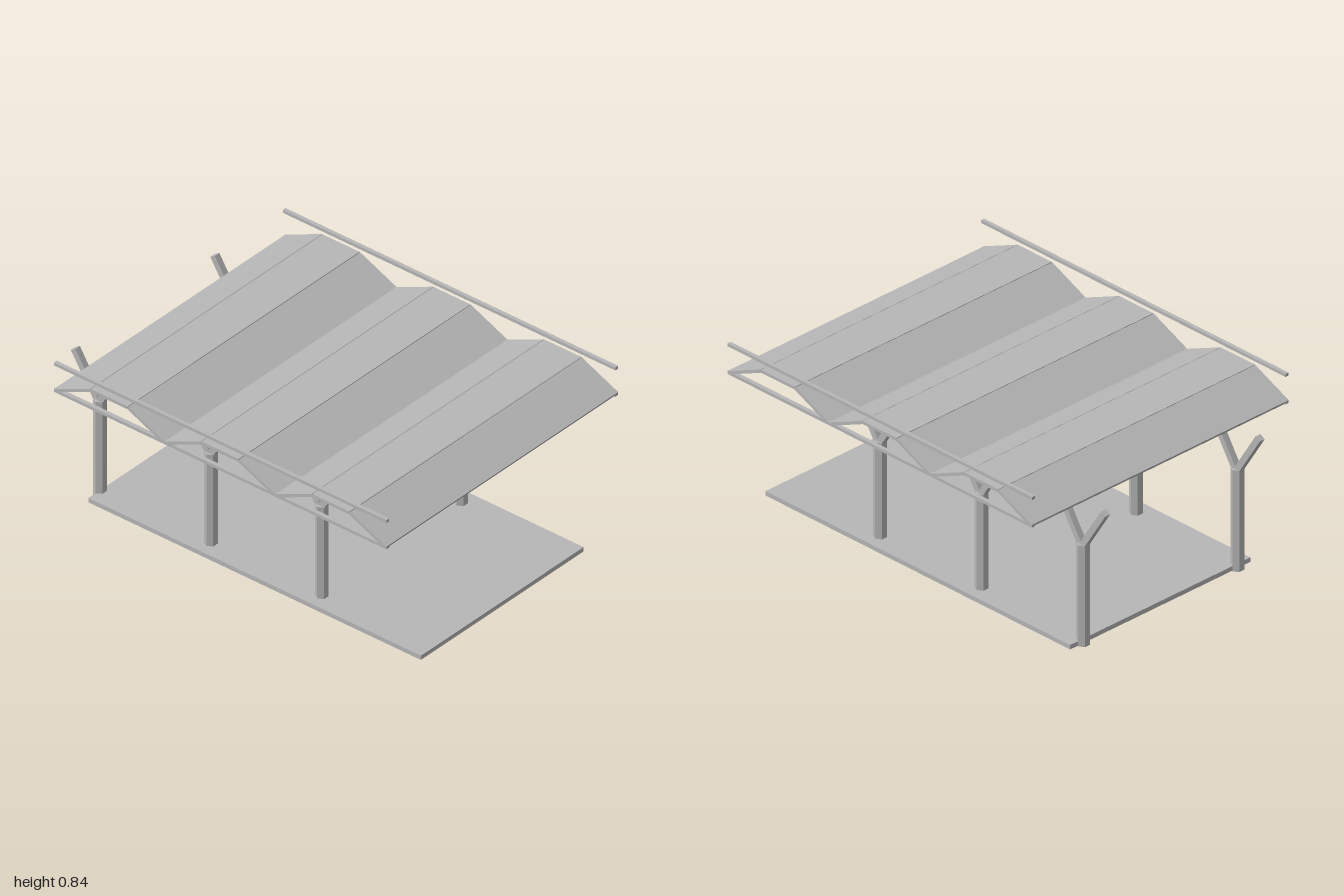
import * as THREE from 'three';

const gray = new THREE.MeshStandardMaterial({ color: 0xb6b6b6 });
gray.name = 'light gray';

// Box given by its limits on each axis
function box(name, x0, x1, y0, y1, z0, z1) {
  const mesh = new THREE.Mesh(new THREE.BoxGeometry(x1 - x0, y1 - y0, z1 - z0), gray);
  mesh.position.set((x0 + x1) / 2, (y0 + y1) / 2, (z0 + z1) / 2);
  mesh.name = name;
  return mesh;
}

// Box running between two points in the xy plane
function bar(name, [x0, y0], [x1, y1], thickness, depth, z = 0) {
  const length = Math.hypot(x1 - x0, y1 - y0);
  const mesh = new THREE.Mesh(new THREE.BoxGeometry(length, thickness, depth), gray);
  mesh.position.set((x0 + x1) / 2, (y0 + y1) / 2, z);
  mesh.rotation.z = Math.atan2(y1 - y0, x1 - x0);
  mesh.name = name;
  return mesh;
}

// Hexagonal post with two branches in a Y
function makeColumn(x, z) {
  const column = new THREE.Group();
  column.name = 'column';
  const geometry = new THREE.CylinderGeometry(0.03, 0.03, 0.495, 6).toNonIndexed();
  geometry.computeVertexNormals();
  const post = new THREE.Mesh(geometry, gray);
  post.position.y = 0.2475;
  post.name = 'post';
  column.add(post);
  for (const side of [-1, 1]) {
    column.add(bar('branch', [0, 0.48], [side * 0.137, 0.697], 0.03, 0.03));
  }
  column.position.set(x, 0, z);
  return column;
}

export function createModel() {
  const model = new THREE.Group();
  model.name = 'shelter';
  const left = -0.85, right = 1, bay = (right - left) / 3;

  model.add(box('platform', left, right, 0.003, 0.025, -0.537, 0.537));

  // Each bay: two columns and three folded roof panels
  for (let i = 0; i < 3; i++) {
    const x = left + i * bay;
    for (const z of [-0.46, 0.46]) model.add(makeColumn(x, z));
    const fold = [
      [x + 0.003, 0.697], [x + bay / 3, 0.787],
      [x + bay * 2 / 3, 0.787], [x + bay - 0.003, 0.697],
    ];
    for (let k = 0; k < 3; k++) {
      model.add(bar('roofPanel', fold[k], fold[k + 1], 0.015, 1.53));
    }
  }

  // Edge beams under the roof and rails above it
  for (const z of [-0.755, 0.755]) {
    model.add(box('edgeBeam', left, right, 0.69, 0.705, z - 0.01, z + 0.01));
    model.add(box('rail', left, right, 0.825, 0.84, z - 0.009, z + 0.009));
  }
  return model;
}
